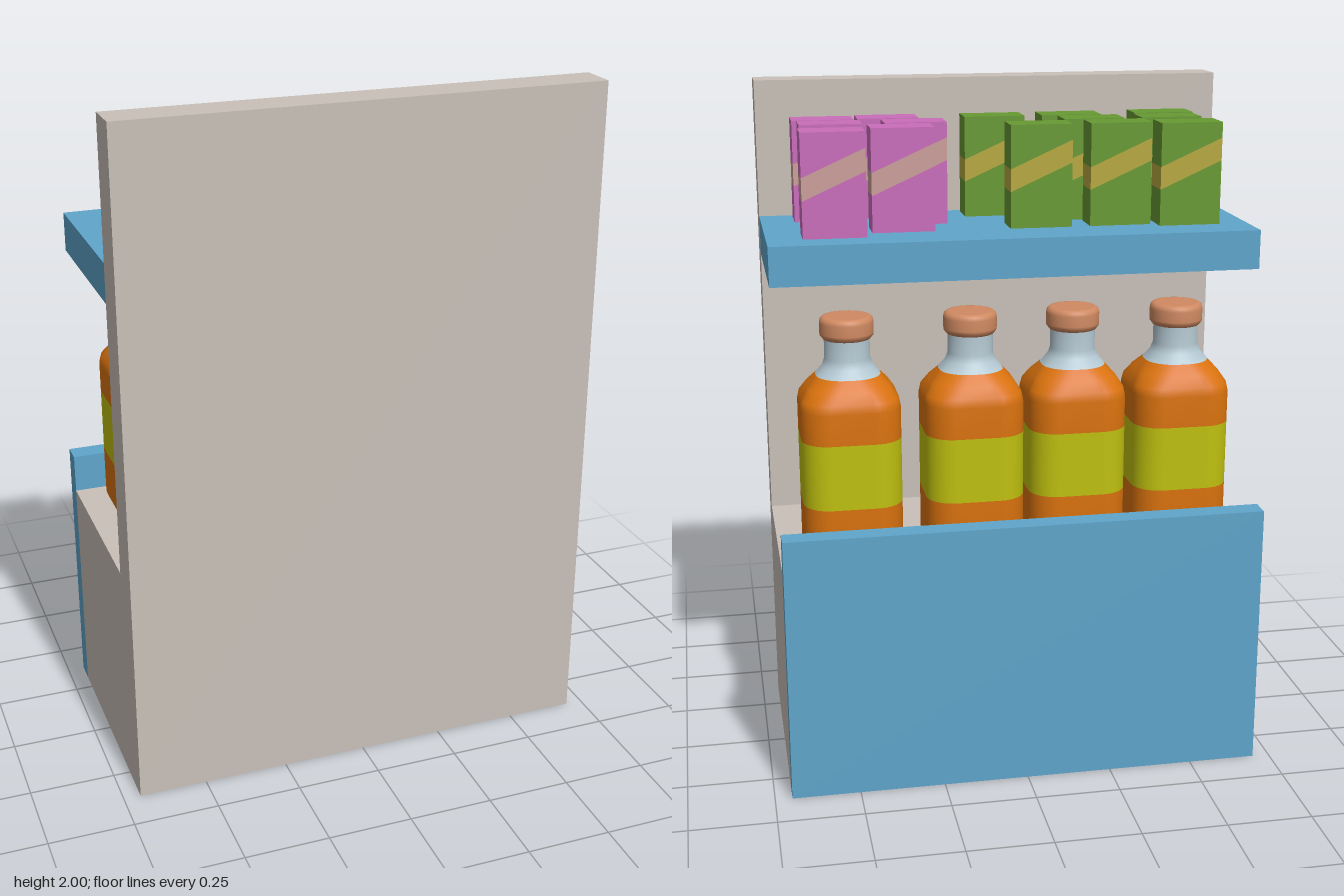
import * as THREE from 'three';

const paint = (name, color, side = THREE.FrontSide) => {
  const m = new THREE.MeshStandardMaterial({ color, side });
  m.name = name;
  return m;
};

const W = 0.7; // half width of the stand

// Open-bottomed shell: a path of [z, y] points swept across x, plus two side walls.
function shell(name, path, corner, material) {
  const group = new THREE.Group();
  group.name = name;
  const pos = [];
  for (let i = 0; i < path.length - 1; i++) {
    const [z0, y0] = path[i], [z1, y1] = path[i + 1];
    const a = [-W, y0, z0], b = [W, y0, z0], c = [W, y1, z1], d = [-W, y1, z1];
    pos.push(...a, ...b, ...c, ...a, ...c, ...d);
  }
  const skin = new THREE.BufferGeometry();
  skin.setAttribute('position', new THREE.Float32BufferAttribute(pos, 3));
  skin.computeVertexNormals();
  const outline = [...path, corner].map(([z, y]) => new THREE.Vector2(z, y));
  const right = new THREE.ShapeGeometry(new THREE.Shape(outline)).rotateY(-Math.PI / 2).translate(-W, 0, 0);
  const left = right.clone().translate(2 * W, 0, 0);
  left.index.array.reverse();
  left.computeVertexNormals();
  [[skin, 'Skin'], [right, 'RightWall'], [left, 'LeftWall']].forEach(([geo, part]) => {
    const mesh = new THREE.Mesh(geo, material);
    mesh.name = name + part;
    group.add(mesh);
  });
  return group;
}

// Rounded-square cross-section: half size h, corner radius r.
function ring(y, h, r, perCorner = 9) {
  const pts = [];
  for (let q = 0; q < 4; q++) {
    const mid = (q + 0.5) * Math.PI / 2;
    const cx = Math.sign(Math.cos(mid)) * (h - r), cz = Math.sign(Math.sin(mid)) * (h - r);
    for (let i = 0; i < perCorner; i++) {
      const a = (q + i / (perCorner - 1)) * Math.PI / 2;
      pts.push(cx + r * Math.cos(a), y, cz + r * Math.sin(a));
    }
  }
  return pts;
}

// Bottle body lofted through rows of [y, half size, radius, material of the span above].
function bottleGeometry() {
  const rows = [
    [0, 0.125, 0.07, 0], [0.008, 0.136, 0.075, 0], [0.025, 0.1425, 0.08, 0],
    [0.17, 0.1425, 0.08, 1], [0.36, 0.1425, 0.08, 0], [0.45, 0.1425, 0.08, 0],
    [0.475, 0.138, 0.082, 0], [0.505, 0.119, 0.083, 0], [0.535, 0.092, 0.08, 2],
    [0.56, 0.073, 0.0715, 2], [0.582, 0.065, 0.0645, 2], [0.645, 0.065, 0.0645, 2],
  ];
  const geo = new THREE.BufferGeometry();
  const pos = rows.flatMap(([y, h, r]) => ring(y, h, r));
  const n = pos.length / 3 / rows.length, index = [];
  for (let j = 0; j < rows.length - 1; j++) {
    geo.addGroup(index.length, n * 6, rows[j][3]);
    for (let i = 0; i < n; i++) {
      const a = j * n + i, b = j * n + (i + 1) % n;
      index.push(a, a + n, b, b, a + n, b + n);
    }
  }
  geo.setAttribute('position', new THREE.Float32BufferAttribute(pos, 3));
  geo.setIndex(index);
  geo.computeVertexNormals();
  return geo;
}

// Slice of a carton: lower and upper edge heights at the right (-x) and left (+x) ends.
function slice(r0, l0, r1, l1) {
  const w = 0.09, d = 0.098;
  const shape = new THREE.Shape([[-w, r0], [w, l0], [w, l1], [-w, r1]].map(p => new THREE.Vector2(...p)));
  return new THREE.ExtrudeGeometry(shape, { depth: d, bevelEnabled: false }).translate(0, 0, -d / 2);
}

export function createModel() {
  const model = new THREE.Group();
  model.name = 'displayStand';

  const grey = paint('warm grey', 0xc9c0b8, THREE.DoubleSide);
  const blue = paint('blue', 0x5fa5cb, THREE.DoubleSide);
  const orange = paint('orange', 0xd9720e);
  const yellow = paint('label yellow', 0xbfc00f);
  const glass = paint('pale glass', 0xb4c8d2);
  const copper = paint('cap copper', 0xd08a62);
  const pink = paint('pink', 0xca6dbb);
  const pinkBand = paint('pink carton band', 0xcb9f9b);
  const green = paint('green', 0x679a33);
  const greenBand = paint('green carton band', 0xb8a840);

  // Stand: tall wall with a hollow base, and a panel along the base
  model.add(shell('case', [[0.375, 0], [0.375, 2], [0.26, 2], [0.26, 0.68], [-0.31, 0.68]], [-0.31, 0], grey));
  model.add(shell('panel', [[-0.31, 0.68], [-0.31, 0.795], [-0.375, 0.795], [-0.375, 0]], [-0.31, 0], blue));

  const shelf = new THREE.Mesh(new THREE.BoxGeometry(2 * W, 0.113, 0.497), blue);
  shelf.name = 'shelf';
  shelf.position.set(0, 1.5435, 0.0115);
  model.add(shelf);

  // Row of capped bottles on the base
  const bodyGeo = bottleGeometry();
  const capProfile = [[0.001, 0.638], [0.068, 0.638], [0.076, 0.648], [0.077, 0.655], [0.077, 0.685],
    [0.075, 0.695], [0.068, 0.701], [0.06, 0.702], [0, 0.702]];
  const capGeo = new THREE.LatheGeometry(capProfile.map(p => new THREE.Vector2(...p)), 32);
  [-0.48, -0.17, 0.131, 0.485].forEach(x => {
    const bottle = new THREE.Group();
    bottle.name = 'bottle';
    const body = new THREE.Mesh(bodyGeo, [orange, yellow, glass]);
    body.name = 'bottleBody';
    const cap = new THREE.Mesh(capGeo, copper);
    cap.name = 'bottleCap';
    bottle.add(body, cap);
    bottle.position.set(x, 0.68, -0.153);
    model.add(bottle);
  });

  // Cartons on the shelf, each with a slanted band
  const slices = [
    ['cartonBottom', slice(0, 0, 0.185, 0.105)],
    ['cartonBand', slice(0.185, 0.105, 0.25, 0.17)],
    ['cartonTop', slice(0.25, 0.17, 0.295, 0.295)],
  ];
  const cartons = (name, main, band, spots) => spots.forEach(([x, z]) => {
    const carton = new THREE.Group();
    carton.name = name;
    slices.forEach(([part, geo]) => {
      const mesh = new THREE.Mesh(geo, part === 'cartonBand' ? band : main);
      mesh.name = part;
      carton.add(mesh);
    });
    carton.position.set(x, 1.6, z);
    model.add(carton);
  });
  cartons('greenCarton', green, greenBand, [
    [-0.524, -0.068], [-0.325, -0.034], [-0.091, -0.034], [-0.505, 0.081],
    [-0.272, 0.081], [-0.514, 0.198], [-0.227, 0.19], [0.005, 0.19],
  ]);
  cartons('pinkCarton', pink, pinkBand, [
    [0.508, -0.096], [0.307, -0.034], [0.254, 0.084], [0.498, 0.077], [0.32, 0.199], [0.512, 0.185],
  ]);

  return model;
}
